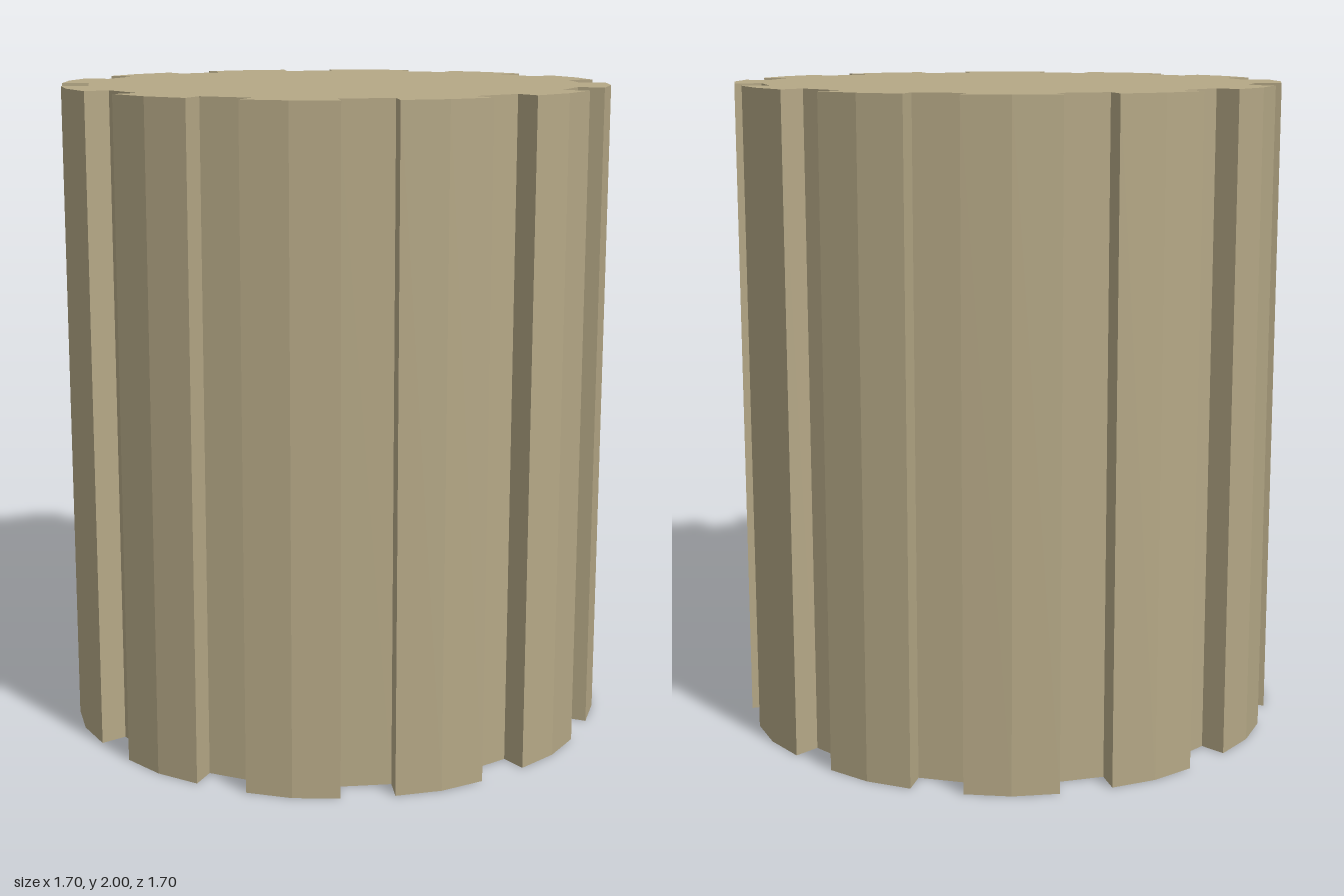
import * as THREE from 'three';

const TEETH = 12;
const HEIGHT = 2;
const TIP = 0.848;         // radius at the middle of each tooth
const SLOT_HALF = 0.08;    // half width of the parallel-sided slots
const SLOT_FLOOR = 0.756;  // distance of the slot floor from the axis
const SLOT_MOUTH = 0.838;  // distance of the slot mouth from the axis

// Outline of the splined cylinder: one tooth tip and one slot per step
function splineOutline() {
  const points = [];
  for (let i = 0; i < TEETH; i++) {
    const a = (i / TEETH) * Math.PI * 2;
    points.push(new THREE.Vector2(TIP * Math.cos(a), TIP * Math.sin(a)));
    const slot = a + Math.PI / TEETH;
    const corners = [
      [SLOT_MOUTH, -SLOT_HALF], [SLOT_FLOOR, -SLOT_HALF],
      [SLOT_FLOOR, SLOT_HALF], [SLOT_MOUTH, SLOT_HALF],
    ];
    for (const [r, t] of corners) {
      points.push(new THREE.Vector2(r, t).rotateAround(new THREE.Vector2(), slot));
    }
  }
  return new THREE.Shape(points);
}

export function createModel() {
  const model = new THREE.Group();
  model.name = 'splinedCylinder';

  // Solid body, extruded upright
  const geometry = new THREE.ExtrudeGeometry(splineOutline(), { depth: HEIGHT, bevelEnabled: false });
  geometry.rotateX(-Math.PI / 2);
  const material = new THREE.MeshStandardMaterial({ color: 0xb5a886, flatShading: true });
  const body = new THREE.Mesh(geometry, material);
  body.name = 'slottedBody';
  model.add(body);

  return model;
}
